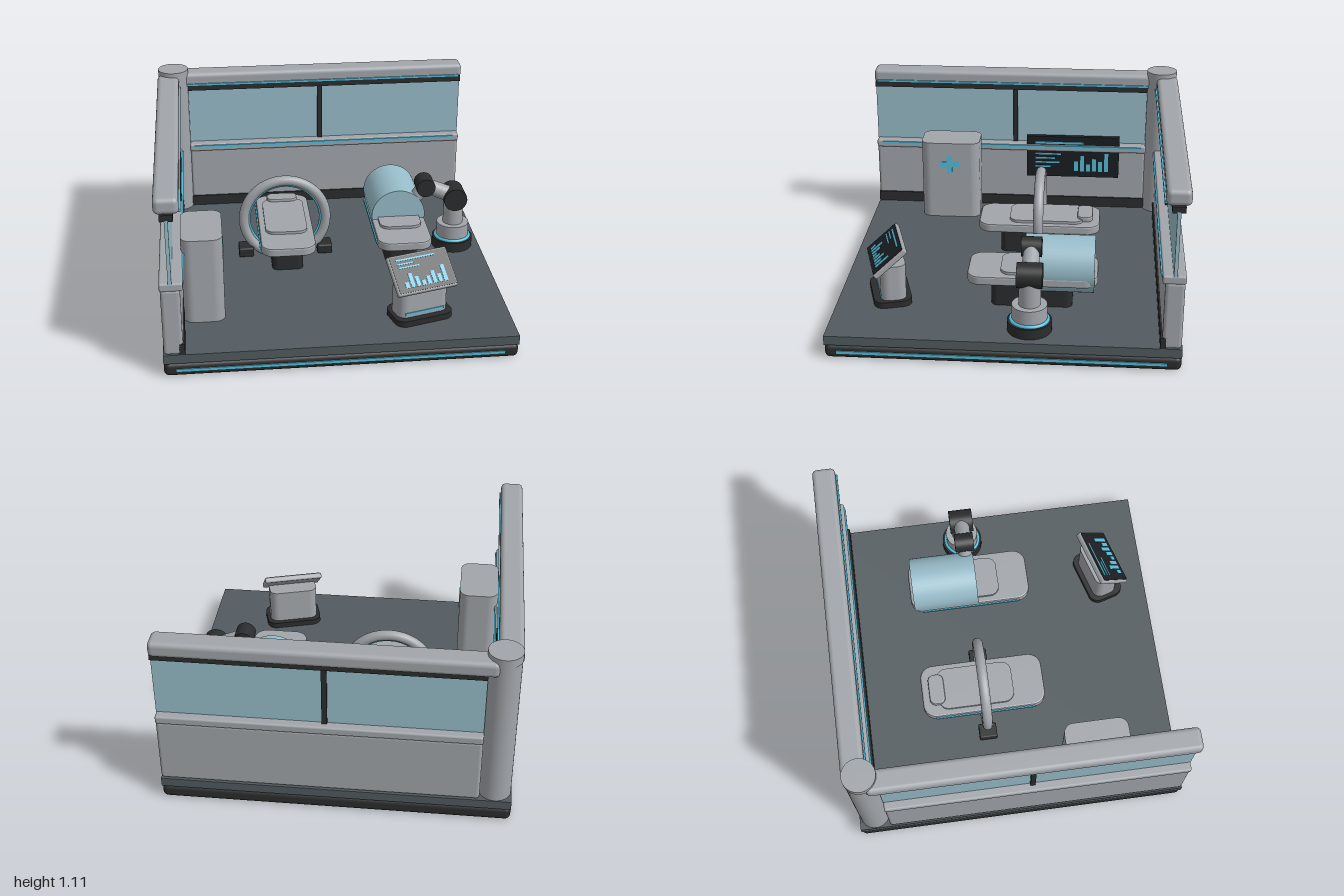
import * as THREE from 'three';
import { RoundedBoxGeometry } from 'three/addons/geometries/RoundedBoxGeometry.js';

const mat = (name, color) => {
  const m = new THREE.MeshStandardMaterial({ color });
  m.name = name;
  return m;
};

export function createModel() {
  const grey = mat('panel grey', 0xa2a6ab);
  const slate = mat('floor slate', 0x525b60);
  const dark = mat('dark trim', 0x2b2c2d);
  const black = mat('screen black', 0x1b1f22);
  const cyan = mat('cyan light', 0x56bddb);
  const glass = mat('pale glass', 0x98bdca);

  const root = new THREE.Group();
  root.name = 'medicalBay';

  const group = (name, parent = root) => {
    const g = new THREE.Group();
    g.name = name;
    parent.add(g);
    return g;
  };
  const add = (parent, name, geo, m, x = 0, y = 0, z = 0) => {
    const o = new THREE.Mesh(geo, m);
    o.name = name;
    o.position.set(x, y, z);
    parent.add(o);
    return o;
  };
  // Box given by its limits on each axis, optionally with rounded edges
  const box = (parent, name, m, [x0, x1], [y0, y1], [z0, z1], r = 0) => {
    const s = [x1 - x0, y1 - y0, z1 - z0];
    const geo = r ? new RoundedBoxGeometry(...s, 3, r) : new THREE.BoxGeometry(...s);
    return add(parent, name, geo, m, (x0 + x1) / 2, (y0 + y1) / 2, (z0 + z1) / 2);
  };
  // Upright block with a rounded rectangular plan, standing on y = 0
  const slab = (w, d, h, r, bevel = 0) => {
    const a = w / 2 - bevel, b = d / 2 - bevel, s = new THREE.Shape();
    s.moveTo(-a + r, -b);
    s.lineTo(a - r, -b);
    s.absarc(a - r, -b + r, r, -Math.PI / 2, 0);
    s.absarc(a - r, b - r, r, 0, Math.PI / 2);
    s.absarc(-a + r, b - r, r, Math.PI / 2, Math.PI);
    s.absarc(-a + r, -b + r, r, Math.PI, Math.PI * 1.5);
    return new THREE.ExtrudeGeometry(s, {
      depth: h - 2 * bevel, curveSegments: 8, bevelEnabled: bevel > 0,
      bevelSize: bevel, bevelThickness: bevel, bevelSegments: 2,
    }).translate(0, 0, bevel).rotateX(-Math.PI / 2);
  };
  const cyl = (r, h, r2 = r) => new THREE.CylinderGeometry(r2, r, h, 40);
  // Cylinder between two points
  const rod = (parent, name, m, p, q, r1, r2 = r1) => {
    const a = new THREE.Vector3(...p), b = new THREE.Vector3(...q);
    const dir = b.clone().sub(a);
    const o = add(parent, name, cyl(r1, dir.length(), r2), m);
    o.position.copy(a).add(b).multiplyScalar(0.5);
    o.quaternion.setFromUnitVectors(new THREE.Vector3(0, 1, 0), dir.normalize());
    return o;
  };
  // Thin glowing marks on a screen facing +z, each as [x, y, width, height]
  const marks = (parent, z, rects) => rects.forEach(([x, y, w, h]) =>
    add(parent, 'screenMark', new THREE.BoxGeometry(w, h, 0.004), cyan, x + w / 2, y + h / 2, z));

  // Platform
  const platform = group('platform');
  box(platform, 'base', dark, [-0.99, 0.99], [0.005, 0.09], [-0.99, 0.99], 0.03);
  box(platform, 'floor', slate, [-0.99, 0.99], [0.09, 0.145], [-0.99, 0.99]);
  box(platform, 'frontLight', cyan, [-0.92, 0.91], [0.038, 0.056], [0.985, 0.996]);
  box(platform, 'rightLight', cyan, [0.985, 0.996], [0.038, 0.056], [-0.91, 0.92]);

  // Walls run along x with the inside facing +z
  const wall = (name, a, b, mullion) => {
    const w = group(name);
    box(w, 'lowerPanel', grey, [a, b], [0.145, 0.55], [-0.985, -0.878], 0.02);
    box(w, 'skirting', dark, [a, b], [0.145, 0.212], [-0.9, -0.868]);
    box(w, 'sill', grey, [a, b], [0.54, 0.59], [-0.99, -0.862], 0.012);
    box(w, 'sillLight', cyan, [a + 0.03, b - 0.04], [0.567, 0.583], [-0.866, -0.854]);
    box(w, 'window', glass, [a, b], [0.585, 0.965], [-0.94, -0.92]);
    box(w, 'mullion', dark, [mullion - 0.015, mullion + 0.015], [0.585, 0.965], [-0.955, -0.905]);
    box(w, 'topRail', dark, [a, b], [0.958, 0.995], [-0.965, -0.893]);
    box(w, 'topCap', grey, [a - 0.06, b], [0.993, 1.086], [-0.995, -0.86], 0.028);
    box(w, 'capLight', cyan, [a, b - 0.02], [1.003, 1.018], [-0.866, -0.852]);
    return w;
  };
  wall('backWall', -0.81, 0.99, 0.055);
  const leftOver = wall('sideWall', -0.81, 0.99, 0.06);
  // Turn the side wall so that it faces +x, with its free end at the front
  leftOver.rotation.y = Math.PI / 2;
  leftOver.children.forEach((o) => { o.position.x *= -1; });

  // Corner column
  const column = group('cornerColumn');
  add(column, 'columnShaft', cyl(0.091, 0.93), grey, -0.895, 0.61, -0.895);
  add(column, 'columnCap', cyl(0.095, 0.05), grey, -0.895, 1.088, -0.895);

  // Wall display
  const display = group('wallDisplay');
  display.position.set(-0.885, 0.502, -0.328);
  display.rotation.y = Math.PI / 2;
  box(display, 'displayPanel', black, [-0.307, 0.307], [-0.142, 0.142], [-0.015, 0.018]);
  marks(display, 0.02, [
    [-0.25, 0.092, 0.32, 0.014],
    [-0.25, 0.015, 0.17, 0.01], [-0.25, -0.015, 0.13, 0.01],
    [-0.25, -0.045, 0.16, 0.01], [-0.25, -0.075, 0.1, 0.01],
    ...[0.07, 0.11, 0.05, 0.09, 0.07, 0.13].map((h, i) => [0.01 + i * 0.04, -0.1, 0.026, h]),
  ]);

  // Supply cabinet with a cross on its side
  const cabinet = group('cabinet');
  add(cabinet, 'cabinetBody', slab(0.235, 0.38, 0.52, 0.06), grey, -0.755, 0.145, 0.47);
  box(cabinet, 'crossBar', cyan, [-0.639, -0.633], [0.502, 0.538], [0.412, 0.538]);
  box(cabinet, 'crossPost', cyan, [-0.639, -0.633], [0.457, 0.583], [0.457, 0.493]);

  // Beds
  const bed = (name, x) => {
    const b = group(name);
    b.position.x = x;
    add(b, 'bedPedestal', slab(0.19, 0.47, 0.165, 0.04), dark, 0, 0.145, -0.14);
    add(b, 'bedSlab', slab(0.33, 0.75, 0.055, 0.07, 0.01), grey, 0, 0.305, -0.145);
    add(b, 'mattress', slab(0.256, 0.46, 0.02, 0.06), grey, 0, 0.357, -0.19);
    add(b, 'pillow', slab(0.19, 0.095, 0.035, 0.03, 0.008), grey, 0, 0.36, -0.428);
    box(b, 'bedLight', cyan, [-0.173, -0.163], [0.325, 0.34], [-0.45, 0.16]);
    return b;
  };

  // Scanner bed with its ring
  const scan = bed('scannerBed', -0.238);
  add(scan, 'scannerRing', new THREE.TorusGeometry(0.254, 0.031, 16, 64), grey, 0, 0.38, -0.145);
  add(scan, 'scannerRingLight', new THREE.TorusGeometry(0.222, 0.009, 8, 64), cyan, 0, 0.38, -0.145);
  for (const s of [-1, 1])
    add(scan, 'ringFoot', new RoundedBoxGeometry(0.092, 0.06, 0.11, 2, 0.01), dark, s * 0.245, 0.174, -0.145);

  // Pod bed with its glass canopy
  const pod = bed('podBed', 0.467);
  add(pod, 'canopy', cyl(0.166, 0.4).rotateX(Math.PI / 2), glass, 0, 0.384, -0.3);

  // Robot arm
  const arm = group('robotArm');
  arm.position.set(0.822, 0, -0.145);
  add(arm, 'armBase', cyl(0.126, 0.062), dark, 0, 0.176, 0);
  add(arm, 'armBaseLight', new THREE.TorusGeometry(0.105, 0.011, 8, 48).rotateX(Math.PI / 2), cyan, 0, 0.212, 0);
  add(arm, 'turntable', cyl(0.1, 0.1), grey, 0, 0.255, 0);
  add(arm, 'armPost', cyl(0.062, 0.17), grey, 0, 0.385, 0);
  rod(arm, 'shoulderJoint', dark, [0, 0.48, -0.072], [0, 0.48, 0.072], 0.072);
  rod(arm, 'upperArm', grey, [0, 0.48, 0], [-0.187, 0.565, 0], 0.05, 0.045);
  rod(arm, 'elbowJoint', dark, [-0.187, 0.565, -0.058], [-0.187, 0.565, 0.058], 0.058);
  rod(arm, 'foreArm', grey, [-0.187, 0.565, 0], [-0.25, 0.47, 0], 0.045, 0.04);

  // Control console
  const desk = group('console');
  desk.position.set(0.47, 0, 0.695);
  desk.rotation.y = 0.28;
  add(desk, 'consoleBase', slab(0.35, 0.22, 0.036, 0.06), dark, 0, 0.145, 0);
  add(desk, 'consoleBody', slab(0.305, 0.15, 0.22, 0.05), grey, 0, 0.175, -0.005);
  box(desk, 'consoleLight', cyan, [-0.12, 0.12], [0.198, 0.212], [0.066, 0.074]);
  const screen = group('consoleScreen', desk);
  screen.position.set(0, 0.428, 0.015);
  screen.rotation.x = -0.87;
  add(screen, 'screenFrame', new RoundedBoxGeometry(0.37, 0.24, 0.035, 2, 0.01), grey);
  add(screen, 'screenFace', new THREE.BoxGeometry(0.35, 0.22, 0.006), black, 0, 0, 0.017);
  marks(screen, 0.02, [
    [-0.14, 0.08, 0.24, 0.01], [-0.14, 0.056, 0.1, 0.008], [-0.14, 0.034, 0.13, 0.008],
    ...[0.035, 0.085, 0.06, 0.03, 0.05, 0.075, 0.05, 0.1].map((h, i) => [-0.13 + i * 0.034, -0.085, 0.023, h]),
  ]);

  return root;
}
